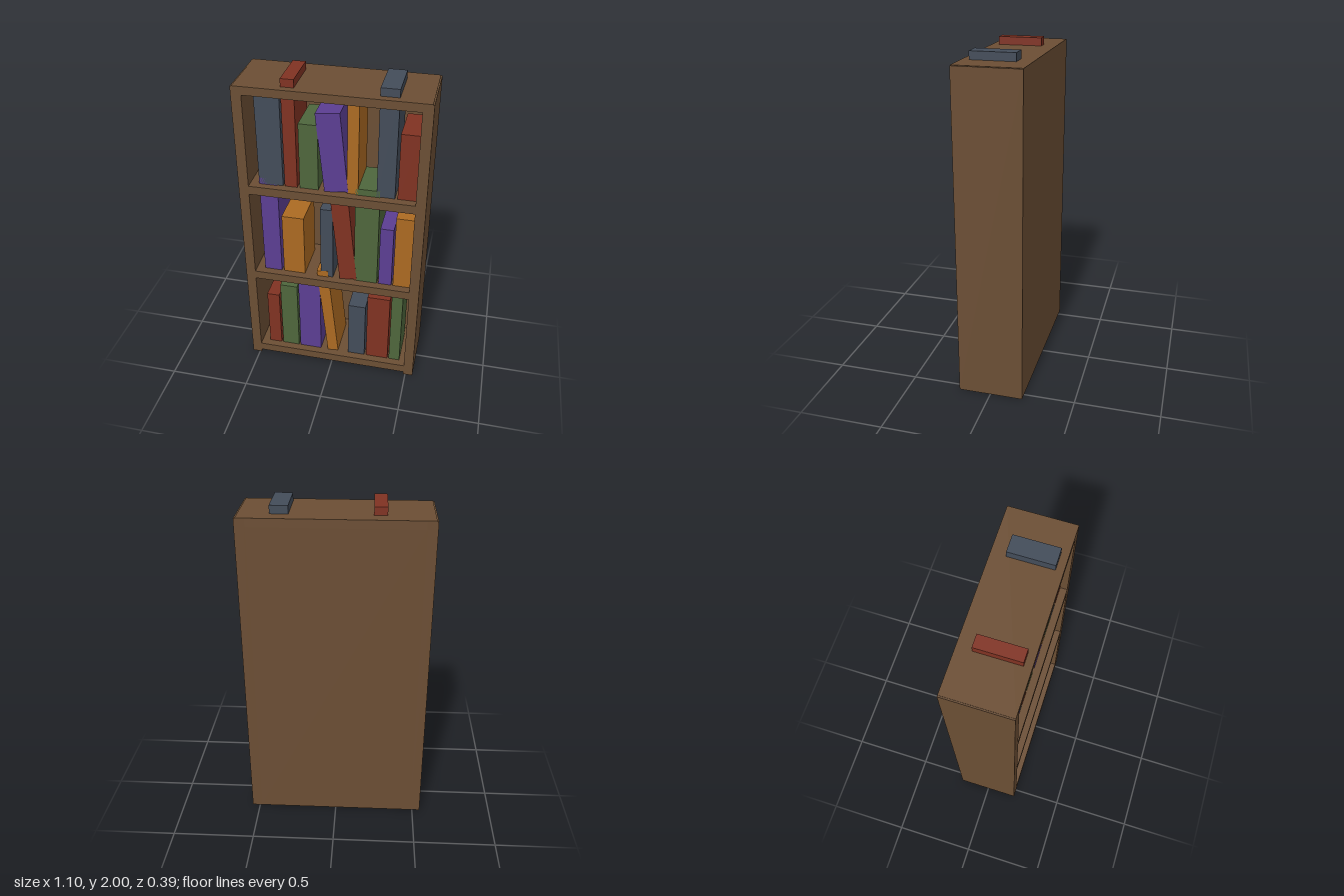
import * as THREE from 'three';

const paint = (name, color) => {
  const m = new THREE.MeshStandardMaterial({ color });
  m.name = name;
  return m;
};

export function createModel() {
  const model = new THREE.Group();
  model.name = 'bookcase';

  const wood = paint('brown wood', 0x6b4e34);
  const slate = paint('slate cover', 0x434c59);
  const red = paint('red cover', 0x803222);
  const green = paint('green cover', 0x4e663c);
  const purple = paint('purple cover', 0x5b3e92);
  const orange = paint('orange cover', 0xab6a22);

  // Box given by its lower and upper corners
  function board(name, material, [x0, y0, z0], [x1, y1, z1], parent = model) {
    const mesh = new THREE.Mesh(new THREE.BoxGeometry(x1 - x0, y1 - y0, z1 - z0), material);
    mesh.position.set((x0 + x1) / 2, (y0 + y1) / 2, (z0 + z1) / 2);
    mesh.name = name;
    parent.add(mesh);
    return mesh;
  }

  // Case: two sides, back panel and top
  for (const [name, s] of [['rightSide', -1], ['leftSide', 1]]) {
    const side = board(name, wood, [-0.03, 0, -0.195], [0.03, 1.947, 0.193]);
    side.position.x = s * 0.518;
  }
  board('backPanel', wood, [-0.49, 0, -0.195], [0.49, 1.9, -0.17]);
  board('topBoard', wood, [-0.54, 1.9, -0.195], [0.54, 1.95, 0.193]);

  // Three shelves, evenly spaced
  const shelfTops = [0.075, 0.7, 1.328];
  for (const y of shelfTops) board('shelf', wood, [-0.49, y - 0.055, -0.17], [0.49, y, 0.193]);

  // Books per shelf: material, left x, right x, height
  const rows = [
    [[red, -0.435, -0.355, 0.41], [green, -0.343, -0.233, 0.5], [purple, -0.222, -0.08, 0.6],
      [slate, 0.105, 0.215, 0.41], [red, 0.227, 0.37, 0.5], [green, 0.38, 0.45, 0.6]],
    [[purple, -0.435, -0.325, 0.665], [orange, -0.31, -0.175, 0.41], [slate, -0.073, 0.004, 0.495],
      [green, 0.137, 0.28, 0.665], [purple, 0.29, 0.37, 0.41], [orange, 0.38, 0.485, 0.495]],
    [[slate, -0.435, -0.29, 0.6], [red, -0.28, -0.205, 0.665], [green, -0.19, -0.08, 0.41],
      [orange, 0.088, 0.153, 0.6], [slate, 0.26, 0.365, 0.665], [red, 0.38, 0.485, 0.41]],
  ];
  // One leaning book per shelf: material, centre x, centre y, width, height
  const leaning = [
    [orange, -0.031, 0.41, 0.07, 0.665],
    [red, 0.07, 1.005, 0.107, 0.6],
    [purple, 0.001, 1.577, 0.14, 0.49],
  ];
  rows.forEach((row, i) => {
    const books = new THREE.Group();
    books.name = 'bookRow' + (i + 1);
    model.add(books);
    const y = shelfTops[i] + 0.004;
    for (const [material, x0, x1, h] of row) {
      board('book', material, [x0, y, -0.11], [x1, y + h, 0.15], books);
    }
    const [material, x, cy, w, h] = leaning[i];
    const book = board('leaningBook', material, [x - w / 2, cy - h / 2, -0.109], [x + w / 2, cy + h / 2, 0.151], books);
    book.rotation.z = 0.1;
  });

  return model;
}
